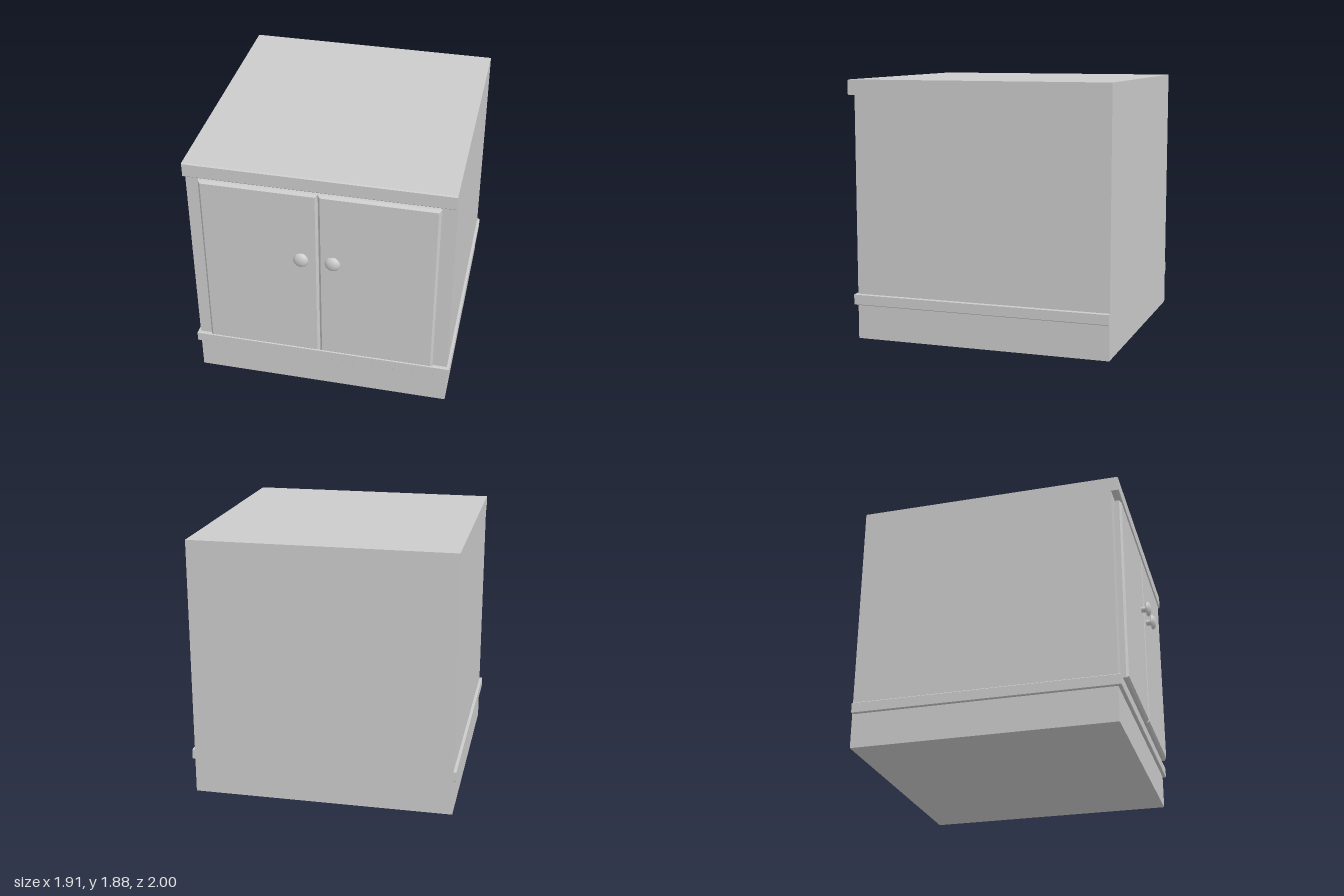
import * as THREE from 'three';
import { toCreasedNormals } from 'three/addons/utils/BufferGeometryUtils.js';

const material = new THREE.MeshStandardMaterial({ color: 0xcccccc });

function polygon(points) {
  return new THREE.Shape(points.map(([x, y]) => new THREE.Vector2(x, y)));
}

function part(name, geometry, parent) {
  const mesh = new THREE.Mesh(geometry, material);
  mesh.name = name;
  parent.add(mesh);
  return mesh;
}

export function createModel() {
  const model = new THREE.Group();
  model.name = 'cabinet';
  const halfWidth = 0.935, back = -1, front = 0.873, lip = 0.926;

  // Carcass and overhanging top lip: side profile (z, y) swept across the width
  const profile = polygon([
    [back, 0], [front, 0], [front, 1.765], [lip - 0.008, 1.765], [lip, 1.773],
    [lip, 1.867], [lip - 0.008, 1.875], [back, 1.875],
  ]);
  const body = new THREE.ExtrudeGeometry(profile, { depth: 2 * halfWidth, bevelEnabled: false });
  body.rotateY(-Math.PI / 2).translate(halfWidth, 0, 0);
  part('carcass', body, model);

  // Base moulding wrapping the front and both sides, open at the back
  const bevel = 0.005, outer = 0.955, inner = 0.9;
  const band = new THREE.ExtrudeGeometry(polygon([
    [-outer, -0.897], [outer, -0.897], [outer, 1], [inner, 1],
    [inner, -0.8], [-inner, -0.8], [-inner, 1], [-outer, 1],
  ]), {
    depth: 0.08 - 2 * bevel, bevelSegments: 1,
    bevelThickness: bevel, bevelSize: bevel, bevelOffset: -bevel,
  });
  band.rotateX(-Math.PI / 2).translate(0, 0.25 + bevel, 0);
  part('baseMoulding', band, model);

  // Knob profile (radius, height above the door), from stem to domed head
  const knobProfile = [
    [0.022, -0.01], [0.022, 0.038], [0.05, 0.038], [0.056, 0.044],
    [0.054, 0.052], [0.045, 0.063], [0.026, 0.071], [0, 0.074],
  ].map(([r, h]) => new THREE.Vector2(r, h));
  const knobGeometry = toCreasedNormals(
    new THREE.LatheGeometry(knobProfile, 12).rotateX(Math.PI / 2), 0.7);

  // Two bevelled doors, each with a knob beside the centre gap
  const edge = 0.016, x0 = 0.001, x1 = 0.834, y0 = 0.35, y1 = 1.743;
  for (const side of [-1, 1]) {
    const prefix = side > 0 ? 'left' : 'right';
    const panel = polygon([[x0, y0], [x1, y0], [x1, y1], [x0, y1]]);
    const door = new THREE.ExtrudeGeometry(panel, {
      depth: 0.055, bevelSegments: 1,
      bevelThickness: edge, bevelSize: edge, bevelOffset: -edge,
    });
    door.translate(side > 0 ? 0 : -(x0 + x1), 0, lip - 0.055 - edge);
    part(prefix + 'Door', door, model);
    part(prefix + 'Knob', knobGeometry, model).position.set(side * 0.112, 1.22, lip);
  }

  return model;
}
